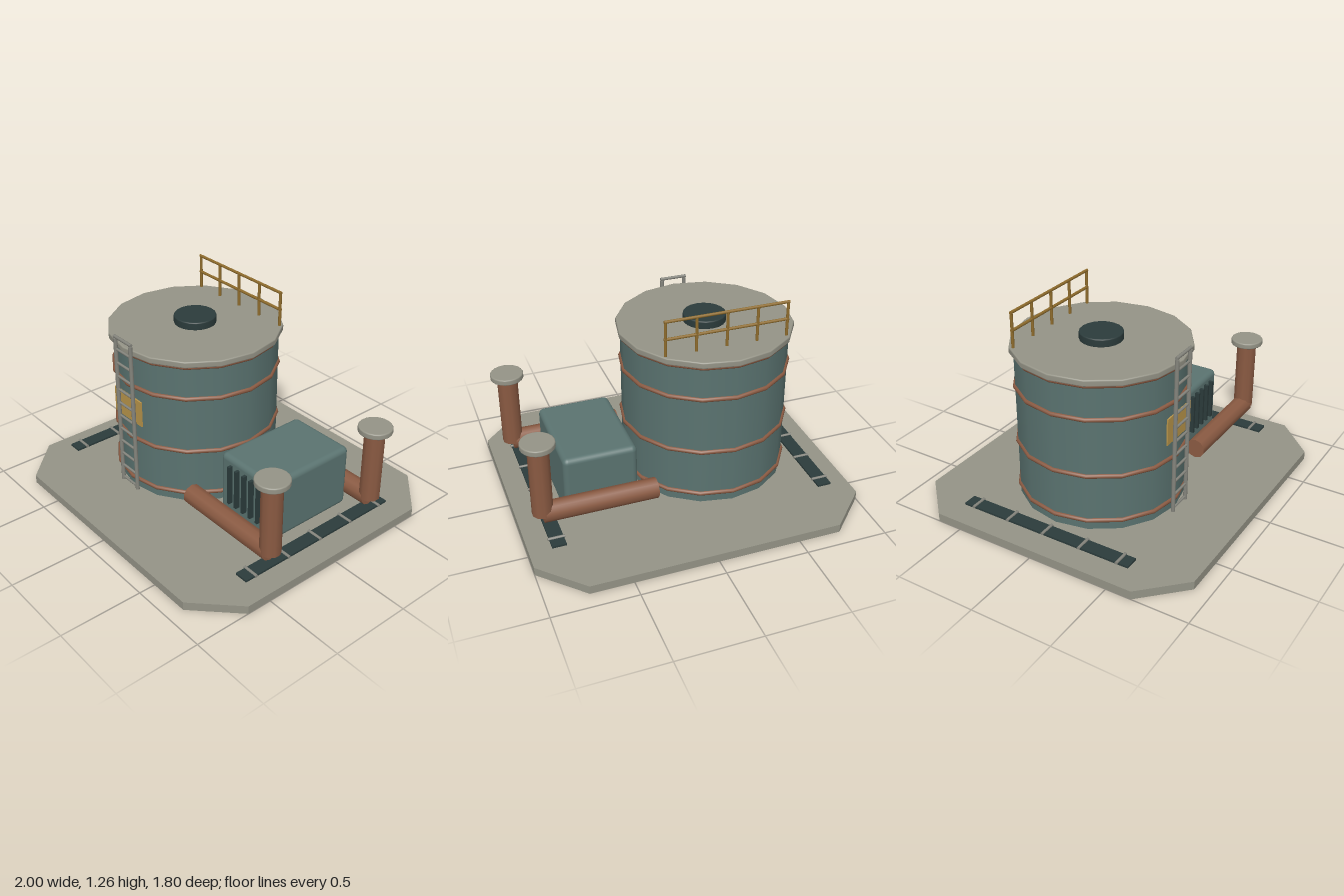
import * as THREE from 'three';
import { RoundedBoxGeometry } from 'three/addons/geometries/RoundedBoxGeometry.js';

const paint = (name, color) => {
  const m = new THREE.MeshStandardMaterial({ color });
  m.name = name;
  return m;
};

export function createModel() {
  const concrete = paint('concrete grey', 0x949386);
  const steel = paint('tank teal', 0x5a7370);
  const rust = paint('rust brown', 0x8a5a42);
  const dark = paint('dark green', 0x2b3b3b);
  const yellow = paint('safety yellow', 0xb8944a);
  const railYellow = paint('railing ochre', 0x8f6c2c);
  const metal = paint('ladder grey', 0x85857d);

  const model = new THREE.Group();
  model.name = 'storageTankStation';
  const group = (name) => {
    const g = new THREE.Group();
    g.name = name;
    model.add(g);
    return g;
  };
  const add = (parent, name, geo, mat, x = 0, y = 0, z = 0) => {
    const m = new THREE.Mesh(geo, mat);
    m.name = name;
    m.position.set(x, y, z);
    parent.add(m);
    return m;
  };
  const upright = (parent, name, mat, r, y0, y1, x, z, sides = 8) =>
    add(parent, name, new THREE.CylinderGeometry(r, r, y1 - y0, sides), mat, x, (y0 + y1) / 2, z);
  // Cylinder along x with a corner pointing straight down
  const across = (parent, name, mat, r, x0, x1, y, z, sides = 8) => {
    const geo = new THREE.CylinderGeometry(r, r, x1 - x0, sides);
    geo.rotateY(Math.PI / 2).rotateZ(Math.PI / 2);
    return add(parent, name, geo, mat, (x0 + x1) / 2, y, z);
  };
  // Disc with rounded rims; doubled points keep the flat faces flat
  const disc = (parent, name, mat, r, y0, y1, x, z, sides, b = 0.008) => {
    const h = y1 - y0;
    const profile = [new THREE.Vector2(0, 0), new THREE.Vector2(r - b, 0)];
    for (const [cy, start] of [[b, -Math.PI / 2], [h - b, 0]]) {
      for (let i = 0; i <= 4; i++) {
        const a = start + (i / 4) * (Math.PI / 2);
        profile.push(new THREE.Vector2(r - b + b * Math.cos(a), cy + b * Math.sin(a)));
      }
    }
    profile.push(new THREE.Vector2(r - b, h), new THREE.Vector2(0, h));
    return add(parent, name, new THREE.LatheGeometry(profile, sides), mat, x, y0, z);
  };

  // Slab with cut corners
  const outline = [[-0.755, -0.9], [0.755, -0.9], [1, -0.655], [1, 0.655],
    [0.755, 0.9], [-0.755, 0.9], [-1, 0.655], [-1, -0.655]];
  const slab = new THREE.ExtrudeGeometry(
    new THREE.Shape(outline.map(([x, y]) => new THREE.Vector2(x, y))),
    { depth: 0.052, bevelEnabled: false });
  slab.rotateX(-Math.PI / 2);
  add(model, 'baseSlab', slab, concrete);

  // Tank with roof, hatch and hoops
  const tank = group('tank');
  const cx = -0.246;
  upright(tank, 'tankShell', steel, 0.5, 0.088, 1.012, cx, 0, 16);
  disc(tank, 'tankRoof', concrete, 0.525, 1.006, 1.045, cx, 0, 16);
  disc(tank, 'roofHatch', dark, 0.128, 1.04, 1.092, cx, 0, 20);
  for (const y of [0.147, 0.44, 0.795, 1.0]) {
    const hoop = add(tank, 'tankHoop', new THREE.TorusGeometry(0.5, 0.0135, 8, 16), rust, cx, y, 0);
    hoop.rotation.x = Math.PI / 2;
  }
  add(tank, 'signPlate', new THREE.BoxGeometry(0.26, 0.165, 0.009), yellow, cx, 0.648, 0.507);

  // Roof railing
  const railing = group('railing');
  for (let i = 0; i < 5; i++) {
    upright(railing, 'railingPost', railYellow, 0.009, 1.04, 1.255, -0.61 + i * 0.183, -0.343);
  }
  for (const y of [1.148, 1.255]) {
    across(railing, 'railingBar', railYellow, 0.009, -0.618, 0.13, y, -0.343);
  }

  // Ladder
  const ladder = group('ladder');
  for (const x of [-0.318, -0.172]) upright(ladder, 'ladderRail', metal, 0.0125, 0.1, 1.075, x, 0.525);
  for (let i = 0; i < 11; i++) {
    across(ladder, 'ladderRung', metal, 0.008, -0.318, -0.172, 0.12 + i * 0.0887, 0.525);
  }
  across(ladder, 'ladderTopBar', metal, 0.01, -0.328, -0.162, 1.085, 0.525);

  // Pump housing with vents
  const pump = group('pumpUnit');
  add(pump, 'pumpHousing', new RoundedBoxGeometry(0.44, 0.397, 0.605, 3, 0.033), steel, 0.511, 0.293, -0.05);
  for (let i = 0; i < 5; i++) {
    add(pump, 'ventSlat', new THREE.BoxGeometry(0.018, 0.255, 0.04), dark, 0.389 + i * 0.061, 0.318, 0.26);
  }

  // Outlet pipes with flat caps
  for (const z of [-0.392, 0.392]) {
    const pipe = group('outletPipe');
    across(pipe, 'pipeRun', rust, 0.062, 0.195, 0.875, 0.208, z, 10);
    upright(pipe, 'pipeRiser', rust, 0.062, 0.206, 0.66, 0.876, z, 10);
    disc(pipe, 'pipeCap', concrete, 0.1, 0.653, 0.69, 0.876, z, 20);
  }

  // Side tracks with cross ties
  for (const x of [-0.83, 0.829]) {
    const track = group('sideTrack');
    add(track, 'trackStrip', new THREE.BoxGeometry(0.085, 0.012, 1.12), dark, x, 0.081, 0);
    for (let i = -2; i <= 2; i++) {
      across(track, 'trackTie', metal, 0.009, x - 0.05, x + 0.05, 0.087, i * 0.245);
    }
  }
  return model;
}
